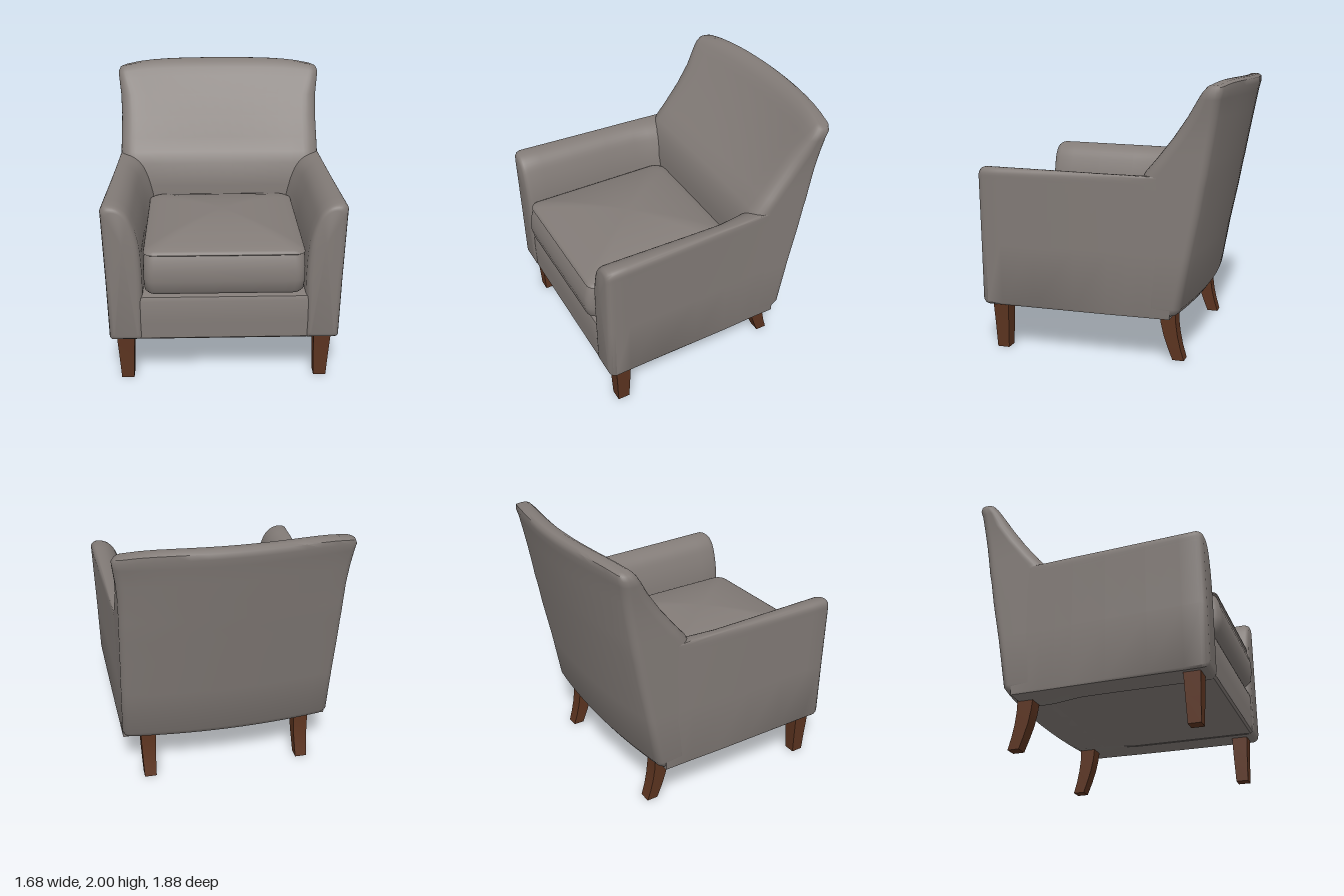
import * as THREE from 'three';
import { toCreasedNormals } from 'three/addons/utils/BufferGeometryUtils.js';

const V = (x, y, z) => new THREE.Vector3(x, y, z);

// Skin a stack of closed rings that all have the same point count
function loft(rings, crease = 0.75) {
  const n = rings[0].length, pos = [], idx = [];
  rings.forEach(r => r.forEach(p => pos.push(p.x, p.y, p.z)));
  for (let i = 0; i < rings.length - 1; i++) {
    for (let j = 0; j < n; j++) {
      const a = i * n + j, b = i * n + (j + 1) % n;
      idx.push(a, b, a + n, b, b + n, a + n);
    }
  }
  const g = new THREE.BufferGeometry();
  g.setAttribute('position', new THREE.Float32BufferAttribute(pos, 3));
  g.setIndex(idx);
  return toCreasedNormals(g, crease);
}

// Ring collapsed to its centre, used to close an end
function closed(ring) {
  const c = V(0, 0, 0);
  ring.forEach(p => c.addScaledVector(p, 1 / ring.length));
  return ring.map(() => c.clone());
}

// Horizontal rounded rectangle with separate front and rear corner radii
function roundedRing(y, w, zf, zb, rf, rb) {
  const corners = [
    [w - rf, zf - rf, rf, 0], [w - rb, zb + rb, rb, 1],
    [-w + rb, zb + rb, rb, 2], [-w + rf, zf - rf, rf, 3],
  ];
  const arcs = corners.map(([cx, cz, r, q]) => Array.from({ length: 7 }, (_, i) => {
    const t = (q + i / 6) * Math.PI / 2;
    return V(cx + r * Math.sin(t), y, cz + r * Math.cos(t));
  }));
  const pts = [];
  arcs.forEach((arc, k) => {
    pts.push(...arc);
    const next = arcs[(k + 1) % 4][0];
    for (let i = 1; i < 14; i++) pts.push(arc[6].clone().lerp(next, i / 14));
  });
  return pts;
}

// Raked back, bowed in plan and rolled over at the top
function backGeometry() {
  // y, half width, front z, rear z, front bow, rear bow
  const rows = [
    [0.35, 0.74, -0.30, -0.54, 0, 0.05],
    [0.37, 0.775, -0.28, -0.59, 0, 0.06],
    [0.42, 0.79, -0.27, -0.625, 0, 0.06],
    [0.80, 0.79, -0.25, -0.70, 0, 0.07],
    [1.10, 0.79, -0.24, -0.765, 0.01, 0.075],
    [1.28, 0.79, -0.265, -0.80, 0.01, 0.08],
    [1.36, 0.79, -0.31, -0.817, 0.02, 0.08],
    [1.45, 0.79, -0.395, -0.835, 0.03, 0.085],
    [1.60, 0.79, -0.53, -0.865, 0.05, 0.09],
    [1.75, 0.80, -0.65, -0.895, 0.07, 0.095],
    [1.88, 0.815, -0.745, -0.92, 0.085, 0.10],
    [1.94, 0.82, -0.785, -0.935, 0.09, 0.10],
    [1.98, 0.805, -0.825, -0.935, 0.095, 0.10],
    [1.997, 0.77, -0.86, -0.915, 0.10, 0.10],
    [2.0, 0.74, -0.885, -0.895, 0.10, 0.10],
  ];
  const rings = rows.map(([y, w, zf, zb, bowF, bowB]) => {
    const d = zf - zb, top = THREE.MathUtils.smoothstep(y, 1.8, 2);
    const ring = roundedRing(y, w, zf, zb, Math.min(0.12, d * 0.5), Math.min(0.05, d * 0.4));
    ring.forEach(p => {
      const s = Math.abs(p.x / w), f = (p.z - zb) / d;
      p.z += THREE.MathUtils.lerp(bowB, bowF, f) * s * s;
      p.y -= 0.035 * top * s ** 5;
    });
    return ring;
  });
  const last = rings[rings.length - 1];
  const seam = last.map(p => V(p.x, p.y, -0.89 + 0.1 * (p.x / 0.74) ** 2));
  return loft([closed(rings[0]), ...rings, seam], 0.9);
}

// Arm: flared scroll section swept from the back to the front
function armGeometry(side) {
  const curve = new THREE.CatmullRomCurve3([
    V(0.84, 1.27, 0), V(0.838, 1.335, 0), V(0.81, 1.36, 0), V(0.73, 1.352, 0), V(0.665, 1.30, 0),
    V(0.62, 1.20, 0), V(0.59, 1.08, 0), V(0.577, 0.95, 0), V(0.572, 0.8, 0),
  ]);
  const section = [V(0.57, 0.36, 0), V(0.585, 0.345, 0), V(0.80, 0.345, 0), V(0.815, 0.36, 0),
    V(0.825, 0.8, 0), ...curve.getPoints(30)];
  // z, edge inset
  const rows = [[-0.5, 0], [-0.38, 0], [-0.28, 0], [-0.18, 0], [-0.05, 0], [0.2, 0], [0.5, 0],
    [0.75, 0], [0.865, 0], [0.89, 0.007], [0.906, 0.02], [0.913, 0.04]];
  const rings = rows.map(([z, inset]) => {
    const back = THREE.MathUtils.clamp((0.85 - z) / 1.25, 0, 1.1);
    const fillet = 0.07 * (1 - THREE.MathUtils.smoothstep(z, -0.35, 0));
    const ring = section.map(p => {
      const outer = THREE.MathUtils.clamp((p.x - 0.57) / 0.25, 0, 1);
      let x = p.x - outer * back * (p.x - 0.79) * (p.x > 0.79 ? 1 : 0) - (1 - outer) * fillet;
      let y = p.y - (p.y > 1 ? 0.02 * back : 0);
      x = 0.7 + (x - 0.7) * (1 - inset / 0.13);
      y = 0.85 + (y - 0.85) * (1 - inset / 0.5);
      return V(side * x, y, z);
    });
    return side < 0 ? ring.reverse() : ring;
  });
  return loft([closed(rings[0]), ...rings, closed(rings[rings.length - 1])]);
}

// Loose seat cushion with a bulging boxed edge and a crowned top
function cushionGeometry() {
  // y, inset, front z
  const edge = [[0.70, 0.06, 0.87], [0.715, 0.02, 0.91], [0.74, 0.005, 0.93], [0.82, 0, 0.947],
    [0.90, 0, 0.943], [0.97, 0.003, 0.925], [1.0, 0.008, 0.912], [1.008, 0, 0.922], [1.02, 0.004, 0.92]];
  const rings = edge.map(([y, i, zf]) => roundedRing(y, 0.56 - i, zf, -0.25 + i, 0.07, 0.1));
  const rim = rings[rings.length - 1];
  for (const s of [0.97, 0.88, 0.75, 0.6, 0.4, 0.2, 0]) {
    rings.push(rim.map(p => V(p.x * s, 1.025 + 0.1 * (1 - s * s), 0.335 + (p.z - 0.335) * s)));
  }
  return loft([closed(rings[0]), ...rings], 0.9);
}

// Upholstered seat base with softened edges
function baseGeometry() {
  const rows = [[0.35, 0.02], [0.365, 0.004], [0.5, 0], [0.65, 0.002], [0.68, 0.012], [0.69, 0.04]];
  const rings = rows.map(([y, i]) => roundedRing(y, 0.6, 0.907 - i, -0.45, 0.02, 0.02));
  return loft([closed(rings[0]), ...rings, closed(rings[rings.length - 1])]);
}

// Tapered four-sided leg; rows are y, centre x, centre z, half width, half depth
function legGeometry(side, rows) {
  const rings = rows.map(([y, x, z, w, d]) =>
    [[-w, d], [w, d], [w, -d], [-w, -d]].map(([dx, dz]) => V(side * x + dx, y, z + dz)));
  return loft([closed(rings[0]), ...rings, closed(rings[rings.length - 1])], 0.5);
}

export function createModel() {
  const fabric = new THREE.MeshStandardMaterial({ color: 0x827b77 });
  fabric.name = 'warm grey fabric';
  const wood = new THREE.MeshStandardMaterial({ color: 0x5c3420 });
  wood.name = 'dark brown wood';

  const chair = new THREE.Group();
  chair.name = 'armchair';
  const add = (name, geometry, material) => {
    const mesh = new THREE.Mesh(geometry, material);
    mesh.name = name;
    chair.add(mesh);
  };

  add('backrest', backGeometry(), fabric);
  add('seatBase', baseGeometry(), fabric);
  add('seatCushion', cushionGeometry(), fabric);

  const frontLeg = [[0, 0.70, 0.785, 0.045, 0.045], [0.18, 0.702, 0.785, 0.054, 0.052],
    [0.37, 0.706, 0.787, 0.063, 0.06]];
  const rearLeg = [[0, 0.598, -0.53, 0.045, 0.042], [0.09, 0.598, -0.499, 0.048, 0.046],
    [0.18, 0.597, -0.474, 0.051, 0.051], [0.27, 0.597, -0.458, 0.054, 0.055],
    [0.38, 0.596, -0.449, 0.057, 0.06]];
  for (const [label, side] of [['left', 1], ['right', -1]]) {
    add(label + 'Arm', armGeometry(side), fabric);
    add(label + 'FrontLeg', legGeometry(side, frontLeg), wood);
    add(label + 'RearLeg', legGeometry(side, rearLeg), wood);
  }
  return chair;
}
